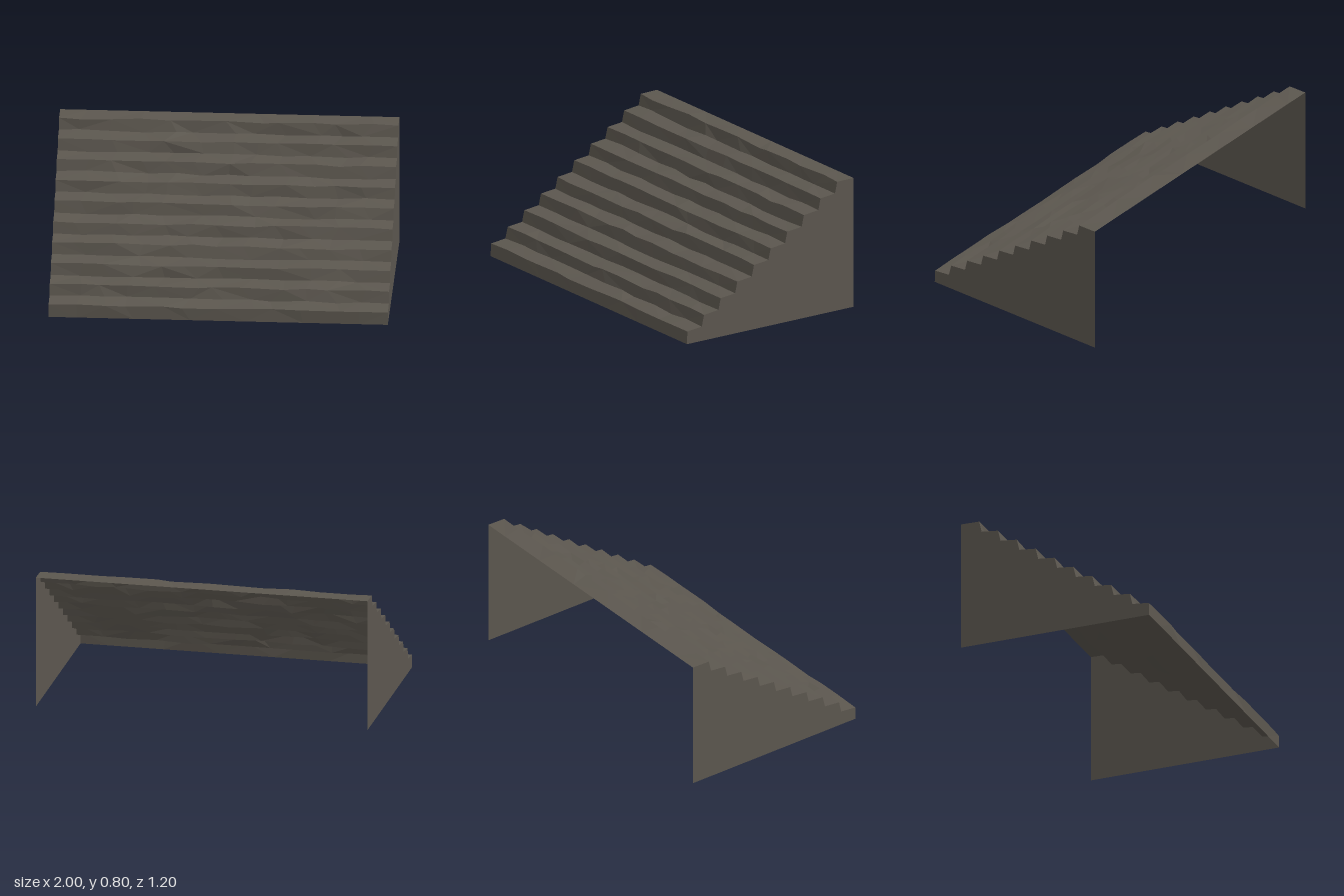
import * as THREE from 'three';

const STEPS = 10, RISE = 0.08, RUN = 0.12, COLUMNS = 12;

// Small seeded generator for the worn stone surface, returns -1..1
function makeNoise(seed) {
  let s = seed;
  return () => {
    s = (s * 16807) % 2147483647;
    return (s / 2147483647) * 2 - 1;
  };
}

// Stair outline as [z, y]: leaning risers and treads that climb a little
function stairProfile() {
  const points = [[0.6, 0]];
  for (let i = 0; i < STEPS; i++) {
    const z = 0.6 - RUN * i, y = RISE * (i + 1);
    const last = i === STEPS - 1;
    points.push([z - 0.003, y - 0.002]);
    points.push(last ? [-0.6, 0.8] : [z - RUN + 0.013, y + 0.009]);
  }
  return points;
}

// Sheet of risers and treads, with uneven edges between the two ends
function stepSurface(profile) {
  const noise = makeNoise(4217);
  const positions = [], indices = [];
  const row = COLUMNS + 1;
  profile.forEach(([z, y], r) => {
    const fixed = r === 0 || r === profile.length - 1;
    for (let c = 0; c <= COLUMNS; c++) {
      const free = !fixed && c > 0 && c < COLUMNS ? 1 : 0;
      const x = -1 + (2 * c) / COLUMNS + free * noise() * 0.05;
      const yy = Math.min(y + free * noise() * 0.006, 0.805);
      positions.push(x, yy, Math.min(z + free * noise() * 0.007, 0.6));
    }
  });
  for (let r = 0; r < profile.length - 1; r++) {
    for (let c = 0; c < COLUMNS; c++) {
      const a = r * row + c, b = a + 1, d = a + row, e = d + 1;
      // Alternate the diagonal for an irregular facet pattern
      if ((r + c) % 2) indices.push(a, b, e, a, e, d);
      else indices.push(a, b, d, b, e, d);
    }
  }
  const geometry = new THREE.BufferGeometry();
  geometry.setAttribute('position', new THREE.Float32BufferAttribute(positions, 3));
  geometry.setIndex(indices);
  geometry.computeVertexNormals();
  return geometry;
}

export function createModel() {
  const group = new THREE.Group();
  group.name = 'staircase';
  const stone = new THREE.MeshStandardMaterial({
    color: 0x5c574f, flatShading: true, side: THREE.DoubleSide,
  });
  const profile = stairProfile();

  const steps = new THREE.Mesh(stepSurface(profile), stone);
  steps.name = 'steps';
  group.add(steps);

  // Flat side walls; the back and underside stay open
  for (const side of [1, -1]) {
    const outline = [...profile, [-0.6, 0]];
    const shape = new THREE.Shape(outline.map(([z, y]) => new THREE.Vector2(-side * z, y)));
    const wall = new THREE.Mesh(new THREE.ShapeGeometry(shape), stone);
    wall.name = side > 0 ? 'leftWall' : 'rightWall';
    wall.rotation.y = (side * Math.PI) / 2;
    wall.position.x = side;
    group.add(wall);
  }
  return group;
}
